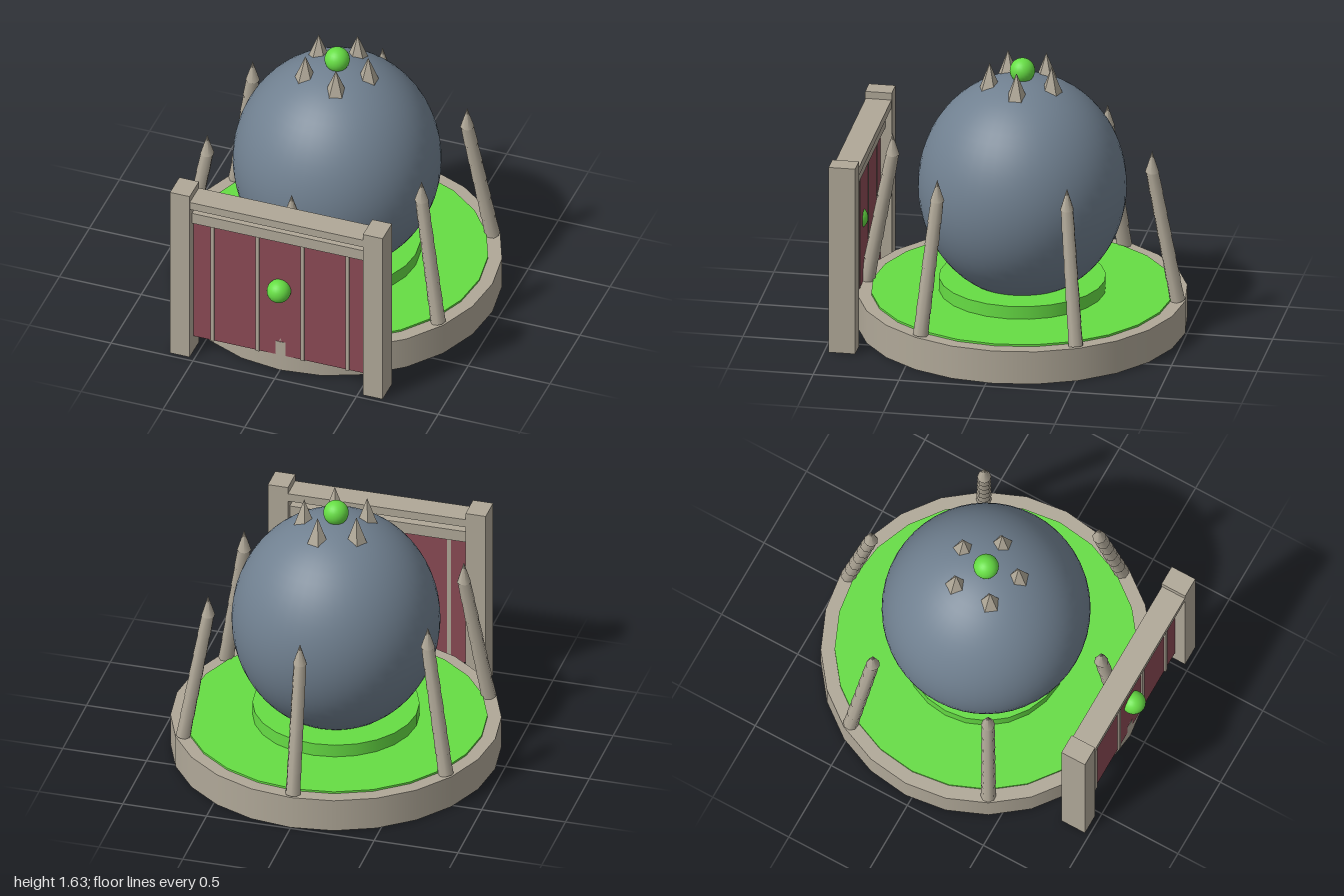
import * as THREE from 'three';

const mat = (color, flatShading = false) => {
  const m = new THREE.MeshStandardMaterial({ color });
  m.flatShading = flatShading;
  return m;
};

export function createModel() {
  const stone = mat(0xb0a898);
  const stoneFlat = mat(0xb0a898, true);
  const green = mat(0x66dd44);
  const slate = mat(0x708090);
  const red = mat(0x8b4a55);

  const root = new THREE.Group();
  root.name = 'domeShrine';

  const add = (parent, name, geometry, material, x = 0, y = 0, z = 0) => {
    const mesh = new THREE.Mesh(geometry, material);
    mesh.name = name;
    mesh.position.set(x, y, z);
    parent.add(mesh);
    return mesh;
  };

  // Round part of the building, set slightly behind the origin
  const tower = new THREE.Group();
  tower.name = 'tower';
  tower.position.z = -0.04;
  root.add(tower);

  add(tower, 'basePlinth', new THREE.CylinderGeometry(0.95, 0.95, 0.2, 24), stone, 0, 0.1);
  add(tower, 'lawnDisc', new THREE.CylinderGeometry(0.87, 0.87, 0.05, 24), green, 0, 0.187);
  add(tower, 'pedestal', new THREE.CylinderGeometry(0.48, 0.48, 0.09, 24), green, 0, 0.245);
  add(tower, 'dome', new THREE.SphereGeometry(0.6, 48, 32), slate, 0, 0.855).scale.y = 1.1;
  add(tower, 'topOrb', new THREE.SphereGeometry(0.073, 24, 16), green, 0, 1.56);

  // Crown of five-sided spikes
  const spike = new THREE.ConeGeometry(0.065, 0.165, 5);
  for (let i = 0; i < 5; i++) {
    const a = (i / 5) * Math.PI * 2;
    const s = add(tower, 'crownSpike', spike, stoneFlat, 0.19 * Math.cos(a), 1.535, 0.19 * Math.sin(a));
    s.rotation.y = -Math.PI / 2;
  }

  // Six inward-leaning segmented pillars, each with an upright point
  const SEGMENTS = 6, y0 = 0.2, y1 = 0.99, r0 = 0.905, r1 = 0.757;
  const lean = Math.atan2(r0 - r1, y1 - y0);
  const segmentLength = Math.hypot(r0 - r1, y1 - y0) / SEGMENTS;
  for (let i = 0; i < 6; i++) {
    const pillar = new THREE.Group();
    pillar.name = 'pillar';
    pillar.rotation.y = (i / 6) * Math.PI * 2;
    tower.add(pillar);
    for (let j = 0; j < SEGMENTS; j++) {
      const t = (j + 0.5) / SEGMENTS;
      const r = 0.045 - 0.005 * t;
      const geometry = new THREE.CylinderGeometry(r - 0.004, r, segmentLength, 8);
      const segment = add(pillar, 'pillarSegment', geometry, stone,
        0, y0 + (y1 - y0) * t, r0 + (r1 - r0) * t);
      segment.rotation.x = -lean;
    }
    add(pillar, 'pillarPoint', new THREE.ConeGeometry(0.041, 0.13, 8), stone, 0, y1 + 0.06, r1);
  }

  // Gate in front
  const gate = new THREE.Group();
  gate.name = 'gate';
  gate.position.z = 0.895;
  root.add(gate);

  const box = (name, material, w, h, d, x, y, z = 0) =>
    add(gate, name, new THREE.BoxGeometry(w, h, d), material, x, y, z);

  for (const side of [-1, 1]) box('gatePost', stone, 0.12, 1.145, 0.155, side * 0.59, 0.5725);
  box('topRail', stone, 1.06, 0.05, 0.15, 0, 1.077);
  box('lowerRail', stone, 1.06, 0.07, 0.08, 0, 0.965);
  box('doorPanel', red, 1.06, 0.825, 0.022, 0, 0.5175);
  for (const x of [-0.413, -0.138, 0.138, 0.413]) {
    box('doorStrip', stone, 0.022, 0.825, 0.035, x, 0.5175, 0.004);
  }
  add(gate, 'doorKnob', new THREE.SphereGeometry(0.07, 24, 16), green, 0, 0.578, 0.035);

  return root;
}
